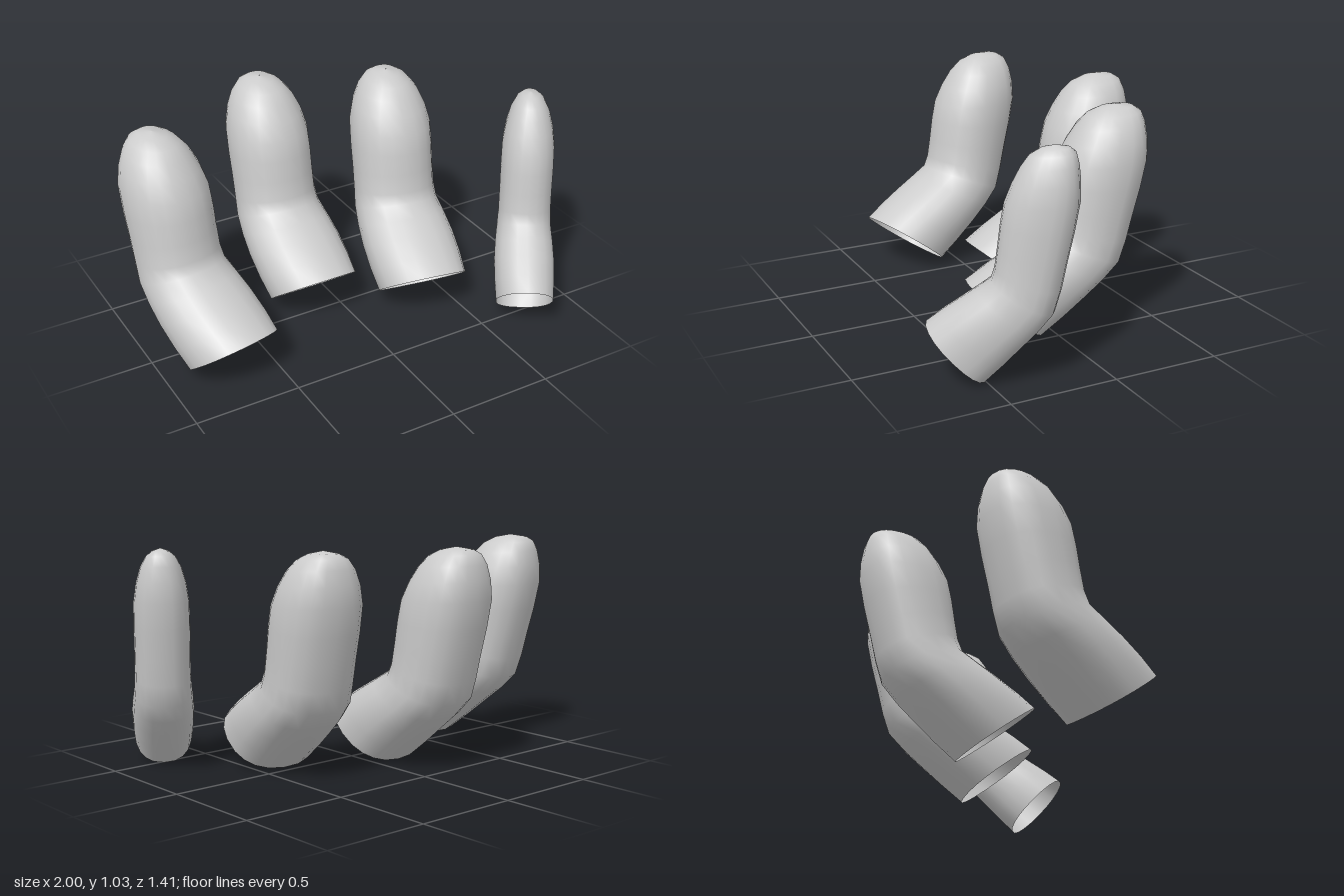
import * as THREE from 'three';

// Cross-sections from the open base to the tip: front z, front y, back z, back y, half width
// (z is measured from the middle of the fingertip)
const SECTIONS = [
  [0.69, 0.255, 0.36, 0.0, 0.212],
  [0.60, 0.31, 0.26, 0.08, 0.222],
  [0.50, 0.365, 0.16, 0.165, 0.224],
  [0.41, 0.415, 0.07, 0.24, 0.216],
  [0.335, 0.46, -0.01, 0.32, 0.203],
  [0.315, 0.51, -0.045, 0.42, 0.196],
  [0.30, 0.60, -0.075, 0.54, 0.195],
  [0.285, 0.70, -0.11, 0.67, 0.196],
  [0.265, 0.79, -0.138, 0.80, 0.193],
  [0.225, 0.87, -0.138, 0.89, 0.173],
  [0.18, 0.94, -0.128, 0.96, 0.142],
  [0.135, 0.99, -0.112, 1.005, 0.103],
  [0.075, 1.02, -0.08, 1.025, 0.06],
  [0.0, 1.035, -0.002, 1.035, 0.001],
];
const SIDES = 20;

// Skin of one bent finger, open at the base; the back is a little flatter than the front
function fingerGeometry() {
  const positions = [];
  const indices = [];
  SECTIONS.forEach(([fz, fy, bz, by, w], i) => {
    for (let j = 0; j < SIDES; j++) {
      const a = (j / SIDES) * Math.PI * 2;
      const power = Math.cos(a) < 0 ? 0.85 : 0.95;
      const u = Math.sign(Math.cos(a)) * Math.abs(Math.cos(a)) ** power;
      const v = Math.sign(Math.sin(a)) * Math.abs(Math.sin(a)) ** power;
      positions.push(
        w * v,
        (fy + by) / 2 + ((fy - by) / 2) * u,
        (fz + bz) / 2 + ((fz - bz) / 2) * u,
      );
      if (i === SECTIONS.length - 1) continue;
      const k = (j + 1) % SIDES;
      const p = i * SIDES;
      const q = p + SIDES;
      indices.push(p + j, p + k, q + j, p + k, q + k, q + j);
    }
  });
  const geometry = new THREE.BufferGeometry();
  geometry.setAttribute('position', new THREE.Float32BufferAttribute(positions, 3));
  geometry.setIndex(indices);
  geometry.computeVertexNormals();
  return geometry;
}

export function createModel() {
  const group = new THREE.Group();
  group.name = 'fingers';
  const geometry = fingerGeometry();
  const material = new THREE.MeshStandardMaterial({ color: 0xcccccc, side: THREE.DoubleSide });

  // Four fingers fanned around the palm: name, x, z, turn, width scale, depth scale
  const fingers = [
    ['indexFinger', -0.81, -0.26, 0.22, 1, 1],
    ['middleFinger', -0.132, -0.55, 0, 1, 1],
    ['ringFinger', 0.435, -0.31, -0.17, 1, 1],
    ['littleFinger', 0.89, 0.25, -0.56, 0.64, 0.77],
  ];
  for (const [name, x, z, turn, width, depth] of fingers) {
    const finger = new THREE.Mesh(geometry, material);
    finger.name = name;
    finger.position.set(x, 0, z);
    finger.rotation.y = turn;
    finger.scale.set(width, 1, depth);
    group.add(finger);
  }
  return group;
}
